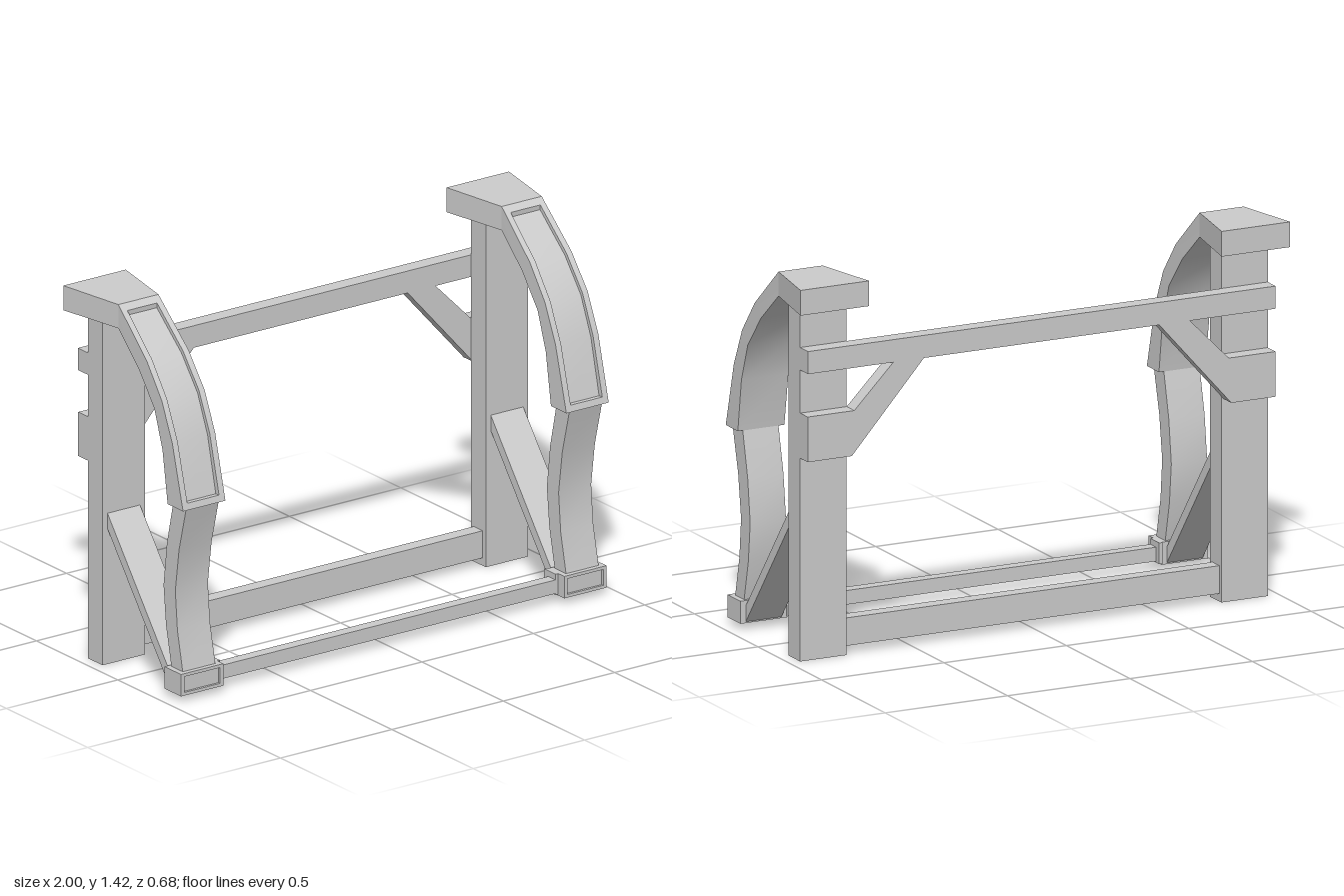
import * as THREE from 'three';
import { toCreasedNormals } from 'three/addons/utils/BufferGeometryUtils.js';

const material = new THREE.MeshStandardMaterial({ color: 0xcccccc });

function add(parent, name, geometry, x = 0, y = 0, z = 0) {
  const mesh = new THREE.Mesh(geometry, material);
  mesh.name = name;
  mesh.position.set(x, y, z);
  parent.add(mesh);
}

// Box from its minimum and maximum along each axis
function block(parent, name, [x0, x1], [y0, y1], [z0, z1]) {
  add(parent, name, new THREE.BoxGeometry(x1 - x0, y1 - y0, z1 - z0),
    (x0 + x1) / 2, (y0 + y1) / 2, (z0 + z1) / 2);
}

const mix = (a, b, t) => a + (b - a) * t;

// Station of a bent timber: front and back points in (z, y) and half width
const station = (fz, fy, bz, by, w) => ({ fz, fy, bz, by, w });
function between(a, b, t) {
  const s = {};
  for (const k in a) s[k] = mix(a[k], b[k], t);
  return s;
}

// Four-sided loft; depth 0 is the back and 1 the front, span gives its x edges
function loft(stations, d0 = 0, d1 = 1, span = (w) => [-w, w]) {
  const rings = stations.map((s) => {
    const [x0, x1] = span(s.w);
    const p = (x, d) => [x, mix(s.by, s.fy, d), mix(s.bz, s.fz, d)];
    return [p(x0, d1), p(x1, d1), p(x1, d0), p(x0, d0)];
  });
  const pos = [];
  const quad = (a, b, c, d) => pos.push(...a, ...b, ...c, ...a, ...c, ...d);
  for (let i = 0; i < rings.length - 1; i++) {
    const a = rings[i], b = rings[i + 1];
    for (let j = 0; j < 4; j++) {
      const k = (j + 1) % 4;
      quad(a[j], a[k], b[k], b[j]);
    }
  }
  const first = rings[0], last = rings[rings.length - 1];
  quad(first[3], first[2], first[1], first[0]);
  quad(...last);
  const g = new THREE.BufferGeometry();
  g.setAttribute('position', new THREE.Float32BufferAttribute(pos, 3));
  return toCreasedNormals(g, 0.5);
}

const upper = [
  station(0.34, 0.745, 0.245, 0.745, 0.095),
  station(0.275, 0.99, 0.215, 0.945, 0.096),
  station(0.21, 1.135, 0.165, 1.09, 0.096),
  station(0.115, 1.26, 0.065, 1.215, 0.094),
  station(-0.065, 1.422, -0.065, 1.33, 0.09),
];
const capEnd = station(-0.335, 1.425, -0.335, 1.33, 0.14);

const lower = [
  station(0.31, 0.1, 0.24, 0.1, 0.073),
  station(0.275, 0.26, 0.205, 0.26, 0.073),
  station(0.262, 0.41, 0.19, 0.41, 0.073),
  station(0.285, 0.575, 0.21, 0.575, 0.073),
  station(0.33, 0.75, 0.25, 0.75, 0.073),
];

const strut = [
  station(0.225, 0.09, 0.225, 0.03, 0.073),
  station(-0.16, 0.59, -0.16, 0.53, 0.073),
];

function createSide(s) {
  const side = new THREE.Group();
  side.name = s > 0 ? 'leftSide' : 'rightSide';
  side.position.x = s * 0.86;

  block(side, 'post', [-0.095, 0.095], [0, 1.335], [-0.245, -0.155]);
  add(side, 'cap', loft([upper[4], capEnd]));

  // Curved upper arm with a sunken front panel framed by rails
  const floor = 0.78, rim = 0.024;
  add(side, 'upperArm', loft(upper, 0, floor));
  add(side, 'rightRail', loft(upper, floor, 1, (w) => [-w, rim - w]));
  add(side, 'leftRail', loft(upper, floor, 1, (w) => [w - rim, w]));
  const inner = (w) => [rim - w, w - rim];
  add(side, 'bottomRail', loft([upper[0], between(upper[0], upper[1], 0.1)], floor, 1, inner));
  add(side, 'topRail', loft([between(upper[3], upper[4], 0.87), upper[4]], floor, 1, inner));

  add(side, 'lowerArm', loft(lower));
  add(side, 'strut', loft(strut));

  // Foot with a shallow framed front and a collar for the front rail
  block(side, 'foot', [-0.095, 0.095], [0.025, 0.11], [0.225, 0.317]);
  const frame = new THREE.Shape();
  frame.moveTo(-0.095, 0.025).lineTo(0.095, 0.025).lineTo(0.095, 0.11).lineTo(-0.095, 0.11);
  const hole = new THREE.Path();
  hole.moveTo(-0.08, 0.037).lineTo(-0.08, 0.098).lineTo(0.08, 0.098).lineTo(0.08, 0.037);
  frame.holes.push(hole);
  add(side, 'footFrame', new THREE.ExtrudeGeometry(frame, { depth: 0.01, bevelEnabled: false }), 0, 0, 0.317);
  const collarX = [-0.093 * s, -0.107 * s].sort((a, b) => a - b);
  block(side, 'collar', collarX, [0.03, 0.11], [0.22, 0.29]);

  // Diagonal brace notched across the back of the post
  const outline = [[0.095, 0.765], [0.095, 0.935], [-0.095, 0.935], [-0.255, 1.097], [-0.38, 1.097], [-0.085, 0.765]];
  const brace = new THREE.Shape(outline.map(([x, y]) => new THREE.Vector2(x * s, y)));
  add(side, 'brace', new THREE.ExtrudeGeometry(brace, { depth: 0.06, bevelEnabled: false }), 0, 0, -0.305);
  return side;
}

export function createModel() {
  const model = new THREE.Group();
  model.name = 'timberFrame';
  model.add(createSide(1), createSide(-1));

  // Cross beams joining the two sides
  block(model, 'topBeam', [-0.955, 0.955], [1.097, 1.182], [-0.307, -0.245]);
  block(model, 'backBeam', [-0.78, 0.78], [0.03, 0.135], [-0.23, -0.175]);
  block(model, 'frontRail', [-0.78, 0.78], [0.035, 0.088], [0.245, 0.29]);
  return model;
}
